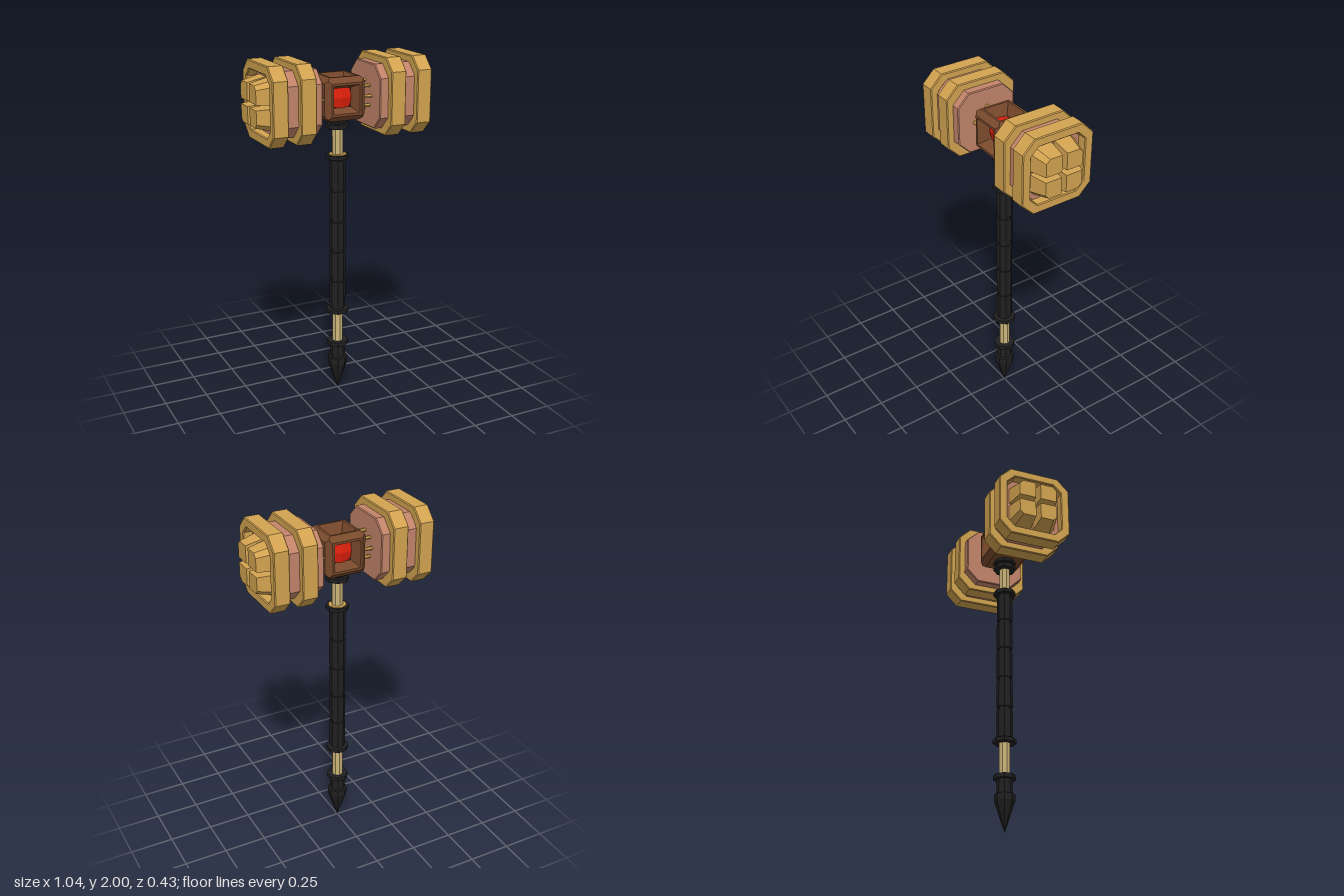
import * as THREE from 'three';
import { mergeGeometries } from 'three/addons/utils/BufferGeometryUtils.js';

const HEAD_Y = 1.785;

function makeMaterial(name, color) {
  const m = new THREE.MeshStandardMaterial({ color, flatShading: true });
  m.name = name;
  return m;
}

function add(parent, name, geometry, material) {
  const mesh = new THREE.Mesh(geometry, material);
  mesh.name = name;
  parent.add(mesh);
  return mesh;
}

// Joins counter-clockwise loops of [x, y, z] points, optionally capping the last one
function loft(loops, cap) {
  const out = [];
  const tri = (...pts) => pts.forEach((p) => out.push(...p));
  const n = loops[0].length;
  for (let i = 0; i < loops.length - 1; i++) {
    for (let j = 0; j < n; j++) {
      const k = (j + 1) % n;
      tri(loops[i][j], loops[i][k], loops[i + 1][k]);
      tri(loops[i][j], loops[i + 1][k], loops[i + 1][j]);
    }
  }
  const last = loops[loops.length - 1];
  if (cap) for (let j = 1; j < n - 1; j++) tri(last[0], last[j], last[j + 1]);
  const g = new THREE.BufferGeometry();
  g.setAttribute('position', new THREE.Float32BufferAttribute(out, 3));
  g.computeVertexNormals();
  return g;
}

// Square with cut corners
function octagonPoints(h, c) {
  return [[h, c - h], [h, h - c], [h - c, h], [c - h, h], [-h, h - c], [-h, c - h], [c - h, -h], [h - c, -h]]
    .map(([x, y]) => new THREE.Vector2(x, y));
}

// Cut-corner slab spanning x0..x1, with an optional opening
function slab(half, cut, x0, x1, hole) {
  const shape = new THREE.Shape(octagonPoints(half, cut));
  if (hole) shape.holes.push(new THREE.Path(octagonPoints(hole, 0.045).reverse()));
  const b = 0.005;
  return new THREE.ExtrudeGeometry(shape, {
    depth: x1 - x0 - 2 * b, bevelEnabled: true, bevelThickness: b,
    bevelSize: b, bevelOffset: -b, bevelSegments: 1,
  }).translate(0, 0, b).rotateY(Math.PI / 2).translate(x0, 0, 0);
}

function lathe(points, sides = 8) {
  return new THREE.LatheGeometry(points.map(([r, y]) => new THREE.Vector2(r, y)), sides)
    .rotateY(Math.PI / sides);
}

// One face of the gem cage: bevelled rim, with a sloping window if open
function cageFace(open) {
  const square = (h, z) => [[h, -h, z], [h, h, z], [-h, h, z], [-h, -h, z]];
  const loops = [square(0.105, 0.105), square(0.09, 0.12)];
  if (open) loops.push(square(0.077, 0.12), square(0.053, 0.053));
  return loft(loops, !open);
}

export function createModel() {
  const gold = makeMaterial('gold', 0xd2a350);
  const copper = makeMaterial('copper', 0xc2846a);
  const brown = makeMaterial('brown', 0x7a4a2c);
  const red = makeMaterial('red', 0xe0200c);
  const black = makeMaterial('black', 0x202022);
  const brass = makeMaterial('pale brass', 0xcbb478);

  const model = new THREE.Group();
  model.name = 'warHammer';

  // Shaft
  const shaft = add(model, 'shaft', new THREE.CylinderGeometry(0.032, 0.032, 1.4, 8), brass);
  shaft.position.y = 0.95;

  // Spiked pommel
  add(model, 'pommel', lathe([
    [0, 0], [0.058, 0.175], [0.058, 0.212], [0.045, 0.215], [0.043, 0.295],
    [0.063, 0.295], [0.063, 0.32], [0, 0.32],
  ]), black);

  // Grip: five wrapped sections between two collars
  const grip = [[0, 0.505], [0.066, 0.505], [0.066, 0.527], [0.04, 0.527]];
  const step = (1.435 - 0.527) / 5;
  for (let i = 0; i < 5; i++) {
    const y = 0.527 + i * step;
    grip.push([0.04, y + 0.008], [0.046, y + 0.009], [0.046, y + step - 0.009], [0.04, y + step - 0.008]);
  }
  grip.push([0.04, 1.435], [0.066, 1.435], [0.066, 1.457], [0, 1.457]);
  add(model, 'grip', lathe(grip), black);
  const washer = add(model, 'gripWasher', new THREE.CylinderGeometry(0.052, 0.052, 0.004, 8), gold);
  washer.position.y = 1.459;

  // Collar under the head
  add(model, 'neckCollar', lathe([
    [0, 1.608], [0.065, 1.608], [0.065, 1.633], [0.045, 1.635], [0.045, 1.645],
    [0.066, 1.647], [0.066, 1.672], [0, 1.672],
  ]), black);

  const head = new THREE.Group();
  head.name = 'head';
  head.position.y = HEAD_Y;
  model.add(head);

  // Gem cage with windows at front, back and top
  const q = Math.PI / 2;
  add(head, 'gemCage', mergeGeometries([
    cageFace(true), cageFace(true).rotateY(Math.PI), cageFace(true).rotateX(-q),
    cageFace(false).rotateX(q), cageFace(false).rotateY(q), cageFace(false).rotateY(-q),
  ]), brown);

  // Gem: a divided cube whose faces bulge outward
  const gem = new THREE.BoxGeometry(2, 2, 2, 2, 2, 2);
  const p = gem.attributes.position;
  for (let i = 0; i < p.count; i++) {
    const v = new THREE.Vector3().fromBufferAttribute(p, i);
    const zeros = v.toArray().filter((c) => Math.abs(c) < 0.01).length;
    v.multiplyScalar([0.05, 0.058, 0.068][zeros]);
    p.setXYZ(i, v.x, v.y, v.z);
  }
  gem.computeVertexNormals();
  add(head, 'gem', gem, red);

  // Striking pad: tapered block with its outer corner cut
  const padLoop = (a, b, c, z) => [[a, a, z], [b, a, z], [b, b - c, z], [b - c, b, z], [a, b, z]];
  const padGeometry = loft([
    padLoop(0.008, 0.14, 0.03, 0.4), padLoop(0.015, 0.112, 0.022, 0.52),
  ], true).rotateY(q);

  // Two mirrored hammer heads
  for (const side of [1, -1]) {
    const block = new THREE.Group();
    block.name = side > 0 ? 'leftHammerBlock' : 'rightHammerBlock';
    if (side < 0) block.rotation.y = Math.PI;
    head.add(block);

    add(block, 'core', slab(0.178, 0.07, 0.17, 0.415), copper);
    add(block, 'innerBand', slab(0.215, 0.07, 0.22, 0.31), gold);
    add(block, 'outerBand', slab(0.215, 0.07, 0.38, 0.468, 0.165), gold);

    for (let i = 0; i < 4; i++) {
      add(block, 'strikingPad', padGeometry, gold).rotation.x = i * q;
    }

    // Ring of rods joining block and cage
    for (let i = 0; i < 8; i++) {
      const a = (i * Math.PI) / 4;
      const rod = add(block, 'rod', new THREE.CylinderGeometry(0.01, 0.01, 0.08, 6), gold);
      rod.rotation.z = q;
      rod.position.set(0.145, 0.077 * Math.sin(a), 0.077 * Math.cos(a));
    }
  }

  return model;
}
